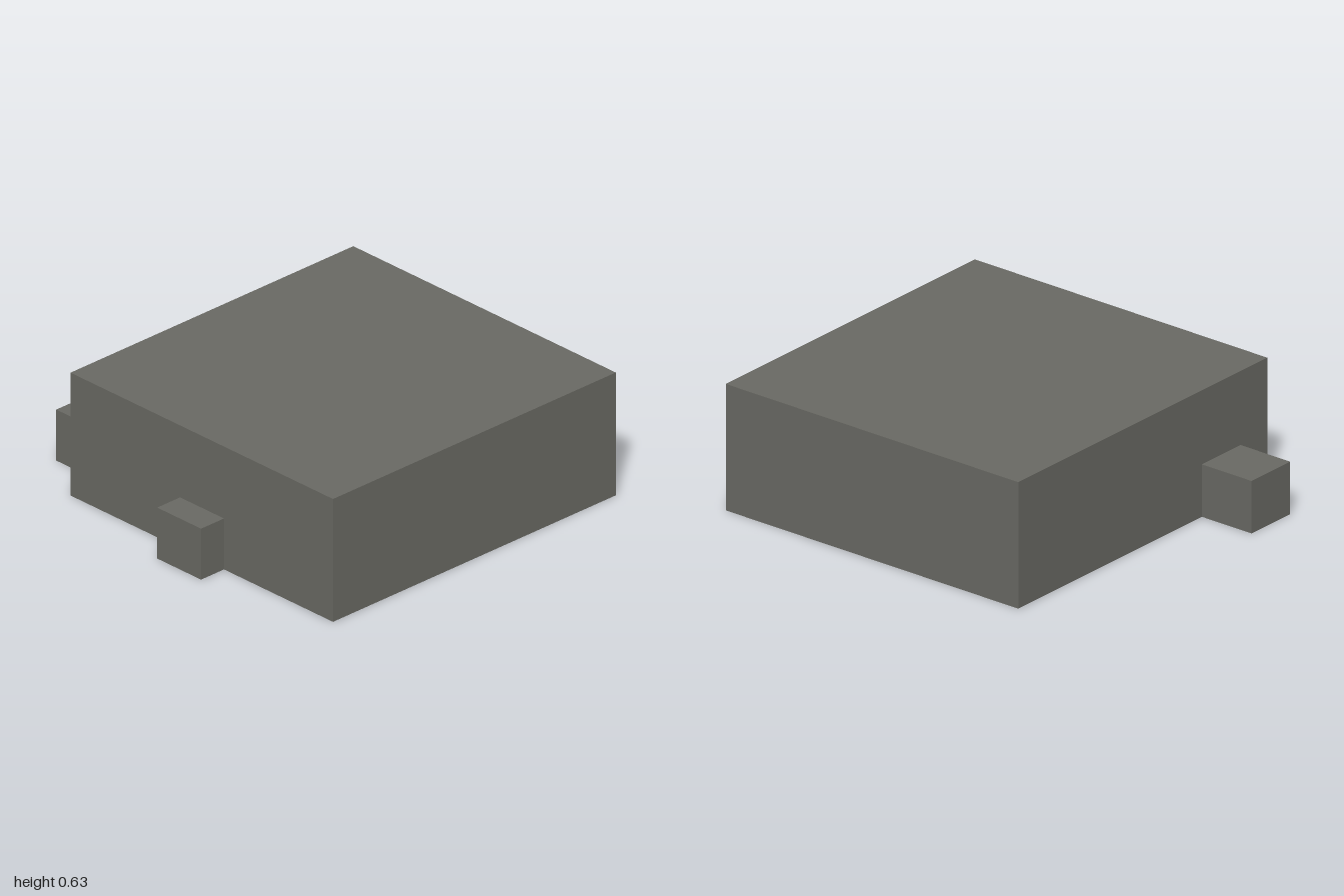
import * as THREE from 'three';

export function createModel() {
  const group = new THREE.Group();
  const grey = new THREE.MeshStandardMaterial({ color: 0x6a6a64 });
  grey.name = 'warm grey';

  // Box given by its extents on each axis, standing on y = 0
  const addBlock = (name, [x0, x1], height, [z0, z1]) => {
    const mesh = new THREE.Mesh(new THREE.BoxGeometry(x1 - x0, height, z1 - z0), grey);
    mesh.position.set((x0 + x1) / 2, height / 2, (z0 + z1) / 2);
    mesh.name = name;
    group.add(mesh);
  };

  // Main building mass
  addBlock('mainBlock', [-0.71, 1], 0.627, [-0.96, 0.816]);
  // Low annexes against the right and front walls
  addBlock('sideAnnex', [-1, -0.71], 0.26, [0.35, 0.626]);
  addBlock('frontAnnex', [0.004, 0.29], 0.26, [0.816, 0.96]);

  return group;
}
